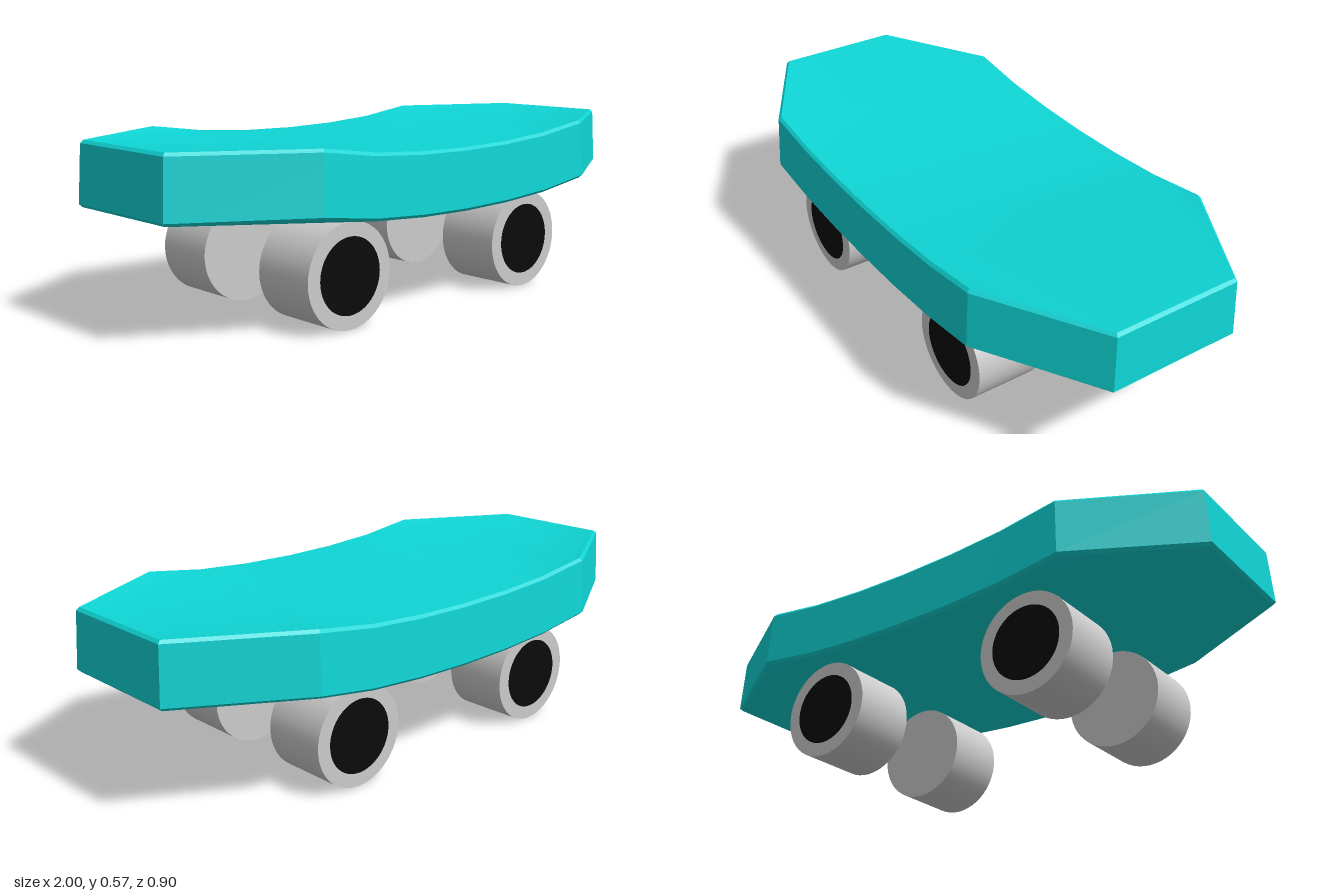
import * as THREE from 'three';
import { toCreasedNormals } from 'three/addons/utils/BufferGeometryUtils.js';

// Deck stations along half the length: [x, half width, inner half width, edge height, inner height]
const HALF = [
  [0, 0.452, 0.452, 0, 0],
  [0.2, 0.452, 0.452, 0.004, 0.004],
  [0.4, 0.452, 0.452, 0.017, 0.017],
  [0.61, 0.452, 0.372, 0.046, 0.028],
  [1, 0.225, 0.225, 0.048, 0.048],
];
// Rim levels from bottom to top: [inset, height]
const RIM = [[0.01, 0.324], [0, 0.334], [0.01, 0.518], [0.019, 0.528]];

// Closed cross-section of the deck, running round bottom, front edge, top, back edge
function deckSection([x, w, inner, edgeLift, innerLift]) {
  const point = (side, [inset, y], half, lift) =>
    new THREE.Vector3(x * (1 - inset), y + lift, side * half * (1 - inset / 0.452));
  const bottom = RIM[0], top = RIM[3];
  return [
    point(-1, bottom, inner, innerLift),
    point(1, bottom, inner, innerLift),
    ...RIM.map((r) => point(1, r, w, edgeLift)),
    point(1, top, inner, innerLift),
    point(-1, top, inner, innerLift),
    ...RIM.map((r) => point(-1, r, w, edgeLift)).reverse(),
  ];
}

function deckGeometry() {
  const mirrored = HALF.slice(1).reverse().map(([x, ...rest]) => [-x, ...rest]);
  const sections = [...mirrored, ...HALF].map(deckSection);
  const n = sections[0].length;
  const positions = [];
  const tri = (a, b, c) => {
    const area = b.clone().sub(a).cross(c.clone().sub(a)).length();
    if (area > 1e-8) for (const p of [a, b, c]) positions.push(p.x, p.y, p.z);
  };
  const quad = (a, b, c, d) => { tri(a, b, c); tri(a, c, d); };

  // Skin between neighbouring sections
  for (let i = 0; i < sections.length - 1; i++) {
    const s = sections[i], t = sections[i + 1];
    for (let j = 0; j < n; j++) {
      const k = (j + 1) % n;
      quad(s[j], t[j], t[k], s[k]);
    }
  }
  // Nose and tail faces
  const first = sections[0], last = sections[sections.length - 1];
  for (let k = 0; k < RIM.length - 1; k++) {
    const r = 2 + k, l = n - 1 - k;
    quad(first[r], first[r + 1], first[l - 1], first[l]);
    quad(last[l], last[l - 1], last[r + 1], last[r]);
  }

  const geometry = new THREE.BufferGeometry();
  geometry.setAttribute('position', new THREE.Float32BufferAttribute(positions, 3));
  return toCreasedNormals(geometry, 0.4);
}

export function createModel() {
  const model = new THREE.Group();
  model.name = 'skateboard';

  const teal = new THREE.MeshStandardMaterial({ color: 0x0fd5d5 });
  const grey = new THREE.MeshStandardMaterial({ color: 0xcccccc });
  const black = new THREE.MeshStandardMaterial({ color: 0x0a0a0a });

  const deck = new THREE.Mesh(deckGeometry(), teal);
  deck.name = 'deck';
  model.add(deck);

  // Wheels with a dark hub disc on the outer face
  const wheelGeometry = new THREE.CylinderGeometry(0.168, 0.168, 0.227, 48).rotateX(Math.PI / 2);
  const hubGeometry = new THREE.CircleGeometry(0.122, 48).translate(0, 0, 0.1155);
  for (const x of [-0.438, 0.388]) {
    for (const side of [1, -1]) {
      const wheel = new THREE.Group();
      wheel.name = (side > 0 ? 'front' : 'back') + (x > 0 ? 'Left' : 'Right') + 'Wheel';
      const tyre = new THREE.Mesh(wheelGeometry, grey);
      tyre.name = 'tyre';
      const hub = new THREE.Mesh(hubGeometry, black);
      hub.name = 'hub';
      wheel.add(tyre, hub);
      wheel.position.set(x, 0.169, side * 0.255);
      if (side < 0) wheel.rotation.y = Math.PI;
      model.add(wheel);
    }
  }
  return model;
}
